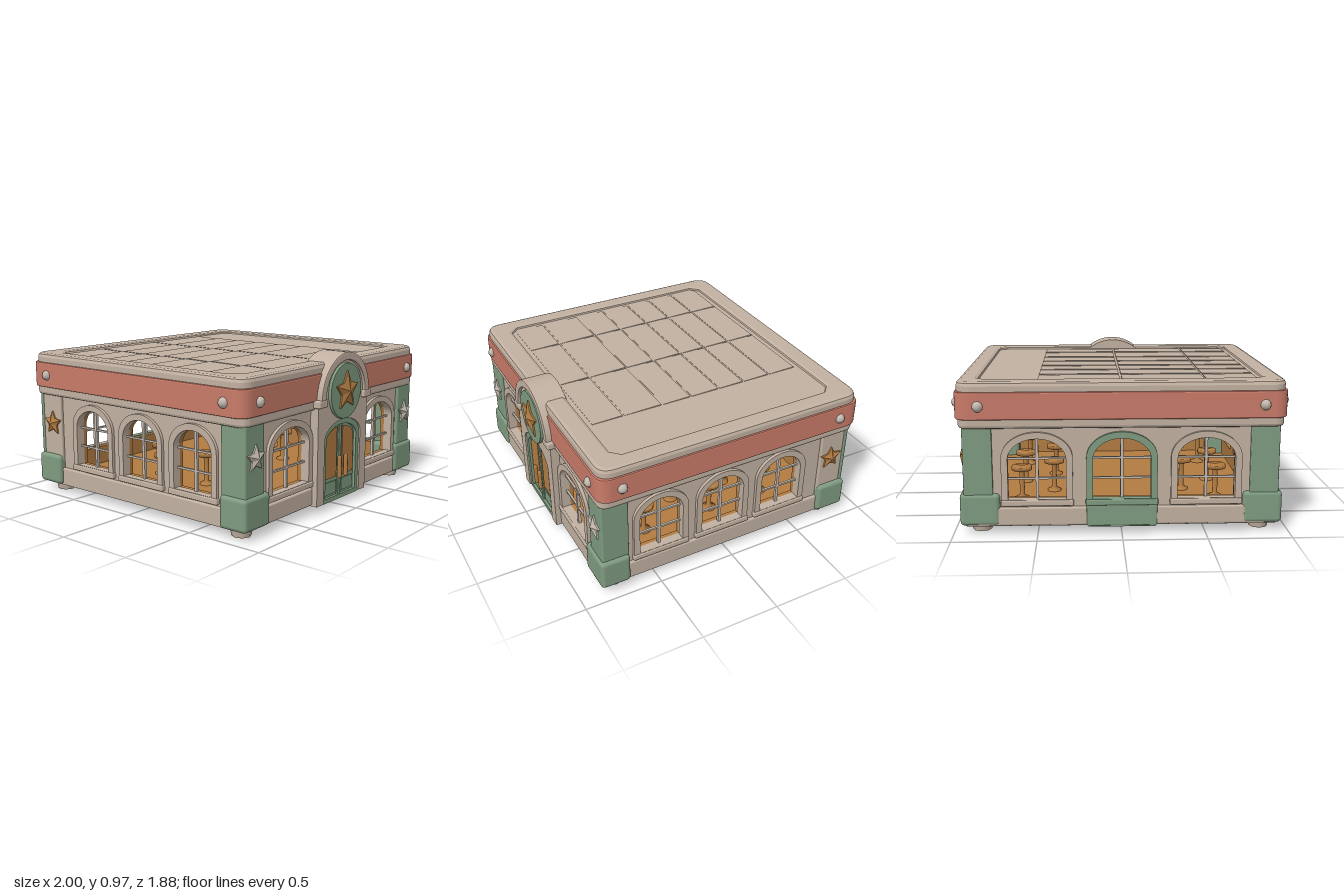
import * as THREE from 'three';
import { RoundedBoxGeometry } from 'three/addons/geometries/RoundedBoxGeometry.js';

const paint = (name, color) => Object.assign(new THREE.MeshStandardMaterial({ color }), { name });

export function createModel() {
  const cream = paint('cream plaster', 0xc2b1a1), red = paint('red band', 0xc97b69);
  const green = paint('green trim', 0x7f9b80), gold = paint('golden wood', 0xb27c42);
  const pale = paint('pale metal', 0xc4bab0);
  const model = new THREE.Group();
  model.name = 'diner';

  const add = (parent, name, geo, mat, x = 0, y = 0, z = 0) => {
    const mesh = new THREE.Mesh(geo, mat);
    mesh.name = name;
    mesh.position.set(x, y, z);
    parent.add(mesh);
    return mesh;
  };
  // Box from its min and max corners, with softened edges when r > 0
  const box = (parent, name, mat, x0, x1, y0, y1, z0, z1, r = 0) => {
    const s = [Math.abs(x1 - x0), y1 - y0, z1 - z0];
    const geo = r ? new RoundedBoxGeometry(...s, 2, r) : new THREE.BoxGeometry(...s);
    return add(parent, name, geo, mat, (x0 + x1) / 2, (y0 + y1) / 2, (z0 + z1) / 2);
  };
  // Upright opening with an elliptical top
  const arch = (cx, hw, y0, y1, rise, Kind = THREE.Shape) => {
    const s = new Kind();
    s.moveTo(cx - hw, y0);
    s.lineTo(cx + hw, y0);
    s.lineTo(cx + hw, y1 - rise);
    s.absellipse(cx, y1 - rise, hw, rise, 0, Math.PI, false, 0);
    s.lineTo(cx - hw, y0);
    return s;
  };
  const rect = (x0, x1, y0, y1, r, chamfer = false) => {
    const s = new THREE.Shape();
    const corner = (cx, cy, x, y) => chamfer ? s.lineTo(x, y) : s.quadraticCurveTo(cx, cy, x, y);
    s.moveTo(x0 + r, y0);
    s.lineTo(x1 - r, y0); corner(x1, y0, x1, y0 + r);
    s.lineTo(x1, y1 - r); corner(x1, y1, x1 - r, y1);
    s.lineTo(x0 + r, y1); corner(x0, y1, x0, y1 - r);
    s.lineTo(x0, y0 + r); corner(x0, y0, x0 + r, y0);
    return s;
  };
  // Extrusion between z0 and z1, bevelled inwards
  const extrude = (shape, z0, z1, b = 0) => new THREE.ExtrudeGeometry(shape, {
    depth: z1 - z0 - 2 * b, bevelEnabled: b > 0, bevelSize: b, bevelThickness: b,
    bevelOffset: -b, bevelSegments: 2, curveSegments: 14,
  }).translate(0, 0, z0 + b);
  // Horizontal slab; the plan shape uses -z as its second axis
  const slab = (name, mat, shape, y0, y1, b = 0) =>
    add(model, name, extrude(shape, y0, y1, b).rotateX(-Math.PI / 2), mat);
  // Faceted five-pointed star facing +z
  const star = (r, edge, peak) => {
    const pts = [[r, 0], [r, edge], [0, edge + peak]].map(p => new THREE.Vector2(...p));
    let geo = new THREE.LatheGeometry(pts, 10);
    const p = geo.attributes.position;
    for (let i = 0; i < p.count; i++) {
      const k = Math.floor(i / 3) % 2 ? 1 : 0.52;
      p.setXYZ(i, p.getX(i) * k, p.getY(i), p.getZ(i) * k);
    }
    geo = geo.toNonIndexed().rotateX(Math.PI / 2);
    geo.computeVertexNormals();
    return geo;
  };

  // Floor, cornice, band and roof
  slab('floorSlab', cream, rect(-0.93, 0.93, -0.84, 0.875, 0.03), 0.05, 0.08, 0.005);
  slab('interiorFloor', gold, rect(-0.86, 0.86, -0.78, 0.82, 0.01), 0.08, 0.09);
  slab('ceiling', gold, rect(-0.86, 0.86, -0.78, 0.82, 0.01), 0.63, 0.645);
  slab('cornice', cream, rect(-0.955, 0.955, -0.865, 0.9, 0.07), 0.645, 0.715, 0.018);
  slab('redBand', red, rect(-0.972, 0.972, -0.872, 0.912, 0.09), 0.7, 0.862, 0.008);
  const rim = rect(-0.962, 0.962, -0.862, 0.902, 0.1);
  rim.holes.push(rect(-0.84, 0.84, -0.72, 0.765, 0.05, true));
  slab('roofRim', cream, rim, 0.84, 0.92, 0.025);
  slab('roofPanel', cream, rect(-0.87, 0.87, -0.75, 0.79, 0.03), 0.85, 0.903);
  // Faint overlapping roof tiles, each tilted a little
  const rows = [-0.74, -0.54, -0.35, -0.17, 0.03, 0.23, 0.49, 0.7], cols = [-0.82, -0.5, 0, 0.5];
  for (let r = 0; r < 7; r++) for (let c = 0; c < 3; c++) {
    const tile = box(model, 'roofTile', cream, cols[c] + 0.006, cols[c + 1] - 0.006,
      0.897, 0.907, rows[r] + 0.006, rows[r + 1] - 0.006);
    tile.rotation.x = 0.02;
  }

  // One wall: local +z is outward, windows are [centre, halfWidth, trim material]
  const wall = (name, width, windows, x, z, turn) => {
    const g = new THREE.Group();
    g.name = name;
    g.position.set(x, 0, z);
    g.rotation.y = turn;
    model.add(g);
    const face = (w, y0, y1) => {
      const s = new THREE.Shape([[-w, y0], [w, y0], [w, y1], [-w, y1]].map(p => new THREE.Vector2(...p)));
      windows.forEach(([c, hw]) => s.holes.push(arch(c, hw, 0.21, 0.585, 0.125, THREE.Path)));
      return s;
    };
    add(g, 'outerWall', extrude(face(width / 2, 0.06, 0.66), -0.04, 0), cream);
    add(g, 'innerWall', extrude(face(width / 2 - 0.045, 0.08, 0.64), -0.065, -0.04), gold);
    box(g, 'baseboard', cream, -width / 2 + 0.05, width / 2 - 0.05, 0.055, 0.165, -0.02, 0.02, 0.01);
    for (const [c, hw, trim] of windows) {
      const frame = arch(c, hw + 0.035, 0.18, 0.62, 0.155);
      frame.holes.push(arch(c, hw - 0.004, 0.214, 0.581, 0.125, THREE.Path));
      add(g, 'windowFrame', extrude(frame, -0.03, 0.02), trim);
      box(g, 'windowSill', trim, c - hw - 0.04, c + hw + 0.04, 0.175, 0.212, -0.02, 0.028, 0.008);
      box(g, 'mullion', pale, c - 0.009, c + 0.009, 0.2, 0.585, -0.03, -0.012);
      for (const y of [0.335, 0.457])
        box(g, 'glazingBar', pale, c - hw, c + hw, y - 0.006, y + 0.006, -0.028, -0.014);
    }
    return g;
  };
  wall('frontWall', 1.82, [[-0.5, 0.185, cream], [0.5, 0.185, cream]], 0, 0.835, 0);
  const back = wall('backWall', 1.82, [[-0.5, 0.175, cream], [0, 0.175, green], [0.5, 0.175, cream]], 0, -0.86, Math.PI);
  box(back, 'backDoorPanel', green, -0.21, 0.21, 0.05, 0.18, -0.02, 0.026, 0.008);
  const sideZ = [0.463, 0.04, -0.383];
  for (const s of [1, -1])
    wall(s > 0 ? 'leftWall' : 'rightWall', 1.69, sideZ.map(z => [-s * (z + 0.0125), 0.148, cream]),
      s * 0.91, -0.0125, s * Math.PI / 2);

  // Corner pillars, feet, stars and bolts
  const starGeo = star(0.08, 0.012, 0.022);
  const bolt = new THREE.SphereGeometry(0.033, 8, 6);
  for (const s of [1, -1]) {
    box(model, 'frontPillar', green, s * 0.76, s * 0.935, 0.2, 0.655, 0.68, 0.855, 0.012);
    box(model, 'backPillar', cream, s * 0.76, s * 0.93, 0.2, 0.655, -0.852, -0.68, 0.008);
    box(model, 'backPillarFace', green, s * 0.76, s * 0.933, 0.2, 0.655, -0.875, -0.85, 0.008);
    box(model, 'frontPillarBase', green, s * 0.72, s * 0.957, 0.055, 0.25, 0.68, 0.872, 0.025);
    box(model, 'backPillarBase', green, s * 0.72, s * 0.957, 0.055, 0.25, -0.885, -0.68, 0.025);
    add(model, 'frontStar', starGeo, pale, s * 0.845, 0.465, 0.853);
    add(model, 'sideStar', starGeo, gold, s * 0.928, 0.46, -0.757).rotation.y = s * Math.PI / 2;
    for (const z of [0.755, -0.755]) {
      add(model, 'foot', new THREE.CylinderGeometry(0.068, 0.058, 0.06, 8), cream, s * 0.84, 0.03, z);
      add(model, 'sideBolt', bolt, pale, s * 0.967, 0.78, z > 0 ? 0.73 : -0.757);
    }
    for (const z of [0.868, -0.908]) add(model, 'bolt', bolt, pale, s * 0.83, 0.78, z);
  }

  // Entrance portal with a round-topped sign
  const portal = arch(0, 0.28, 0.05, 0.66, 0.001);
  portal.holes.push(arch(0, 0.205, 0.04, 0.555, 0.11, THREE.Path));
  const jambs = new THREE.Shape([[-0.28, 0.05], [-0.205, 0.05], [-0.205, 0.445]].map(p => new THREE.Vector2(...p)));
  jambs.absellipse(0, 0.445, 0.205, 0.11, Math.PI, 0, true, 0);
  [[0.205, 0.05], [0.28, 0.05], [0.28, 0.68], [-0.28, 0.68]].forEach(p => jambs.lineTo(...p));
  add(model, 'portal', extrude(jambs, 0.81, 0.89), cream);
  add(model, 'signGable', extrude(arch(0, 0.265, 0.66, 0.965, 0.265), 0.72, 0.89), cream);
  const hood = new THREE.Shape();
  hood.absarc(0, 0.7, 0.272, 0, Math.PI, false);
  hood.absarc(0, 0.7, 0.222, Math.PI, 0, true);
  add(model, 'signHood', extrude(hood, 0.72, 0.91, 0.008), cream);
  for (const s of [1, -1])
    box(model, 'hoodBlock', cream, s * 0.205, s * 0.297, 0.66, 0.708, 0.8, 0.912, 0.01);
  add(model, 'signDisc', new THREE.CylinderGeometry(0.172, 0.178, 0.03, 32).rotateX(Math.PI / 2), green, 0, 0.733, 0.892);
  add(model, 'signStar', star(0.125, 0.012, 0.022), gold, 0, 0.733, 0.905);

  // Double door
  const doorFrame = arch(0, 0.205, 0.05, 0.555, 0.11);
  doorFrame.holes.push(arch(0, 0.172, 0.07, 0.522, 0.09, THREE.Path));
  add(model, 'doorFrame', extrude(doorFrame, 0.82, 0.88), green);
  add(model, 'doorLeaves', extrude(arch(0, 0.18, 0.06, 0.53, 0.09), 0.82, 0.862), green);
  box(model, 'doorSeam', green, -0.016, 0.016, 0.06, 0.53, 0.85, 0.872, 0.005);
  for (const s of [1, -1]) {
    const pane = new THREE.Shape();
    pane.moveTo(s * 0.032, 0.19);
    pane.lineTo(s * 0.16, 0.19);
    pane.lineTo(s * 0.16, 0.42);
    pane.quadraticCurveTo(s * 0.15, 0.49, s * 0.032, 0.505);
    add(model, 'doorPane', extrude(pane, 0.86, 0.868), gold);
    box(model, 'doorRail', green, s * 0.03, s * 0.16, 0.085, 0.165, 0.86, 0.868);
    add(model, 'doorHandle', new THREE.CapsuleGeometry(0.014, 0.12, 4, 8), gold, s * 0.036, 0.255, 0.893);
  }
  box(model, 'frontThreshold', green, -0.2, 0.2, 0.043, 0.052, 0.72, 0.88);
  box(model, 'backThreshold', green, -0.2, 0.2, 0.043, 0.052, -0.88, -0.62);

  // Stools and pendant lamps inside
  const profile = pts => new THREE.LatheGeometry(pts.map(p => new THREE.Vector2(...p)), 14);
  const stool = profile([[0.045, 0.085], [0.045, 0.1], [0.016, 0.115], [0.016, 0.26], [0.03, 0.275],
    [0.065, 0.28], [0.065, 0.305], [0, 0.305]]);
  const shade = profile([[0, 0.445], [0.022, 0.465], [0.02, 0.49], [0.1, 0.49], [0.095, 0.53],
    [0.07, 0.565], [0.025, 0.59], [0.01, 0.6], [0.01, 0.64]]);
  for (const s of [1, -1]) {
    for (const [x, z] of [[0.62, 0.43], [0.62, -0.05], [0.62, -0.44], [0.42, 0.13], [0.42, -0.27]])
      add(model, 'stool', stool, gold, s * x, 0, z);
    for (const z of [0.46, -0.33]) add(model, 'pendantLamp', shade, gold, s * 0.45, 0, z);
  }
  return model;
}
